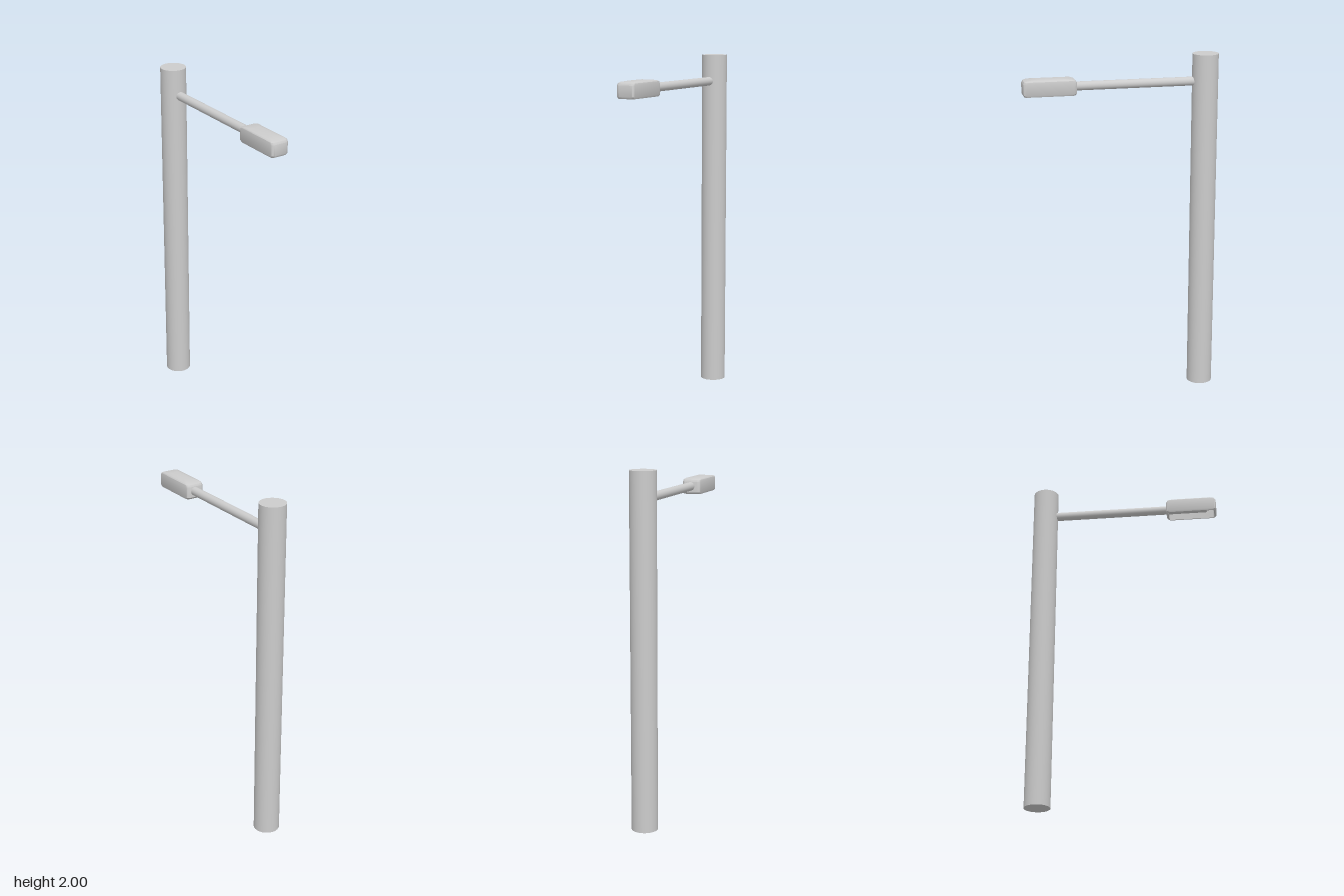
import * as THREE from 'three';
import { toCreasedNormals } from 'three/addons/utils/BufferGeometryUtils.js';

const POLE_Z = -0.483, ARM_Y = 1.845, HEAD_X = -0.004;

// Rounded-rectangle ring at height y: half width, back z, front z, corner radius
function ring([y, halfWidth, back, front, radius]) {
  const points = [], steps = 3;
  const midZ = (back + front) / 2, halfDepth = (front - back) / 2;
  for (let corner = 0; corner < 4; corner++) {
    const sx = corner === 0 || corner === 3 ? 1 : -1;
    const sz = corner < 2 ? 1 : -1;
    for (let s = 0; s <= steps; s++) {
      const a = (corner + s / steps) * Math.PI / 2;
      points.push([
        sx * (halfWidth - radius) + radius * Math.cos(a), y,
        midZ + sz * (halfDepth - radius) + radius * Math.sin(a),
      ]);
    }
  }
  return points;
}

// Skin joining successive rings
function loft(sections) {
  const rings = sections.map(ring), n = rings[0].length, index = [];
  for (let r = 0; r < rings.length - 1; r++) {
    for (let i = 0; i < n; i++) {
      const j = (i + 1) % n;
      const a = r * n + i, b = r * n + j, c = a + n, d = b + n;
      index.push(a, c, b, b, c, d);
    }
  }
  const geometry = new THREE.BufferGeometry();
  geometry.setAttribute('position', new THREE.Float32BufferAttribute(rings.flat(2), 3));
  geometry.setIndex(index);
  return toCreasedNormals(geometry, 0.6);
}

export function createModel() {
  const model = new THREE.Group();
  model.name = 'streetLamp';
  const material = new THREE.MeshStandardMaterial({ color: 0xcccccc });
  const shellMaterial = new THREE.MeshStandardMaterial({ color: 0xcccccc, side: THREE.DoubleSide });

  const add = (name, geometry, mat = material) => {
    const mesh = new THREE.Mesh(geometry, mat);
    mesh.name = name;
    model.add(mesh);
    return mesh;
  };

  // Upright pole
  add('pole', new THREE.CylinderGeometry(0.074, 0.074, 2, 48)).position.set(0, 1, POLE_Z);

  // Horizontal arm, running from inside the pole into the lamp housing
  const armStart = POLE_Z + 0.04, armEnd = 0.5;
  const arm = add('arm', new THREE.CylinderGeometry(0.025, 0.025, armEnd - armStart, 32));
  arm.rotation.x = Math.PI / 2;
  arm.position.set(0, ARM_Y, (armStart + armEnd) / 2);

  // Hollow housing open underneath: cavity ceiling, inner wall, rim, outer wall, crown
  add('lampHousing', loft([
    [1.878, 0, 0.41, 0.41, 0],
    [1.878, 0.044, 0.272, 0.545, 0.01],
    [1.80, 0.044, 0.272, 0.545, 0.01],
    [1.80, 0.050, 0.266, 0.551, 0.018],
    [1.81, 0.054, 0.258, 0.557, 0.018],
    [1.872, 0.054, 0.258, 0.557, 0.018],
    [1.883, 0.052, 0.265, 0.550, 0.016],
    [1.889, 0.046, 0.282, 0.535, 0.012],
    [1.894, 0.022, 0.34, 0.48, 0.008],
    [1.894, 0, 0.41, 0.41, 0],
  ]), shellMaterial).position.x = HEAD_X;

  return model;
}
